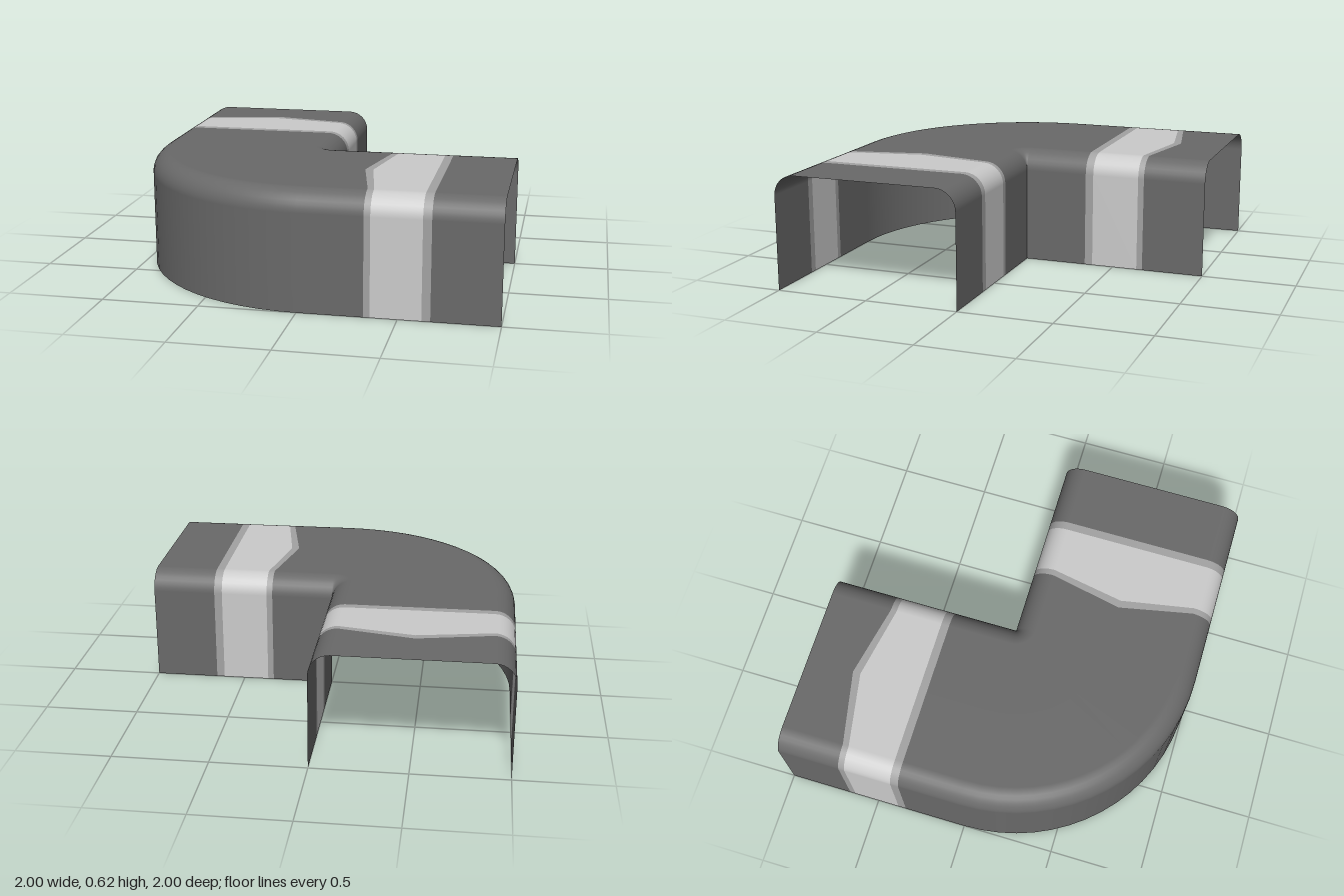
import * as THREE from 'three';

const HEIGHT = 0.615, RADIUS = 0.11, ARC_STEPS = 8, BEND_STEPS = 16;

// Thin shells open at the bottom and ends, so both sides show
const paint = (color) => new THREE.MeshStandardMaterial({ color, side: THREE.DoubleSide });

// Inverted-U cross-section: w runs from inner wall (0) to outer wall (1)
function makeProfile() {
  const points = [{ w: 0, y: 0, nw: -1, ny: 0 }];
  const corner = (centre, from) => {
    for (let i = 0; i <= ARC_STEPS; i++) {
      const a = from - (i / ARC_STEPS) * Math.PI / 2;
      const nw = Math.cos(a), ny = Math.sin(a);
      points.push({ w: centre + RADIUS * nw, y: HEIGHT - RADIUS + RADIUS * ny, nw, ny });
    }
  };
  corner(RADIUS, Math.PI);
  points.push({ w: 0.5, y: HEIGHT, nw: 0, ny: 1 });
  corner(1 - RADIUS, Math.PI / 2);
  points.push({ w: 1, y: 0, nw: 1, ny: 0 });
  return points;
}

// Sweeps the section; place(point, t) gives the outward direction angle, x and z
function sweep(name, material, profile, steps, place) {
  const position = [], normal = [], index = [];
  profile.forEach((p, i) => {
    for (let j = 0; j <= steps; j++) {
      const { x, z, angle } = place(p, j / steps);
      position.push(x, p.y, z);
      normal.push(-p.nw * Math.sin(angle), p.ny, p.nw * Math.cos(angle));
      if (i < profile.length - 1 && j < steps) {
        const a = i * (steps + 1) + j, c = a + steps + 1;
        index.push(a, a + 1, c, a + 1, c + 1, c);
      }
    }
  });
  const geometry = new THREE.BufferGeometry();
  geometry.setAttribute('position', new THREE.Float32BufferAttribute(position, 3));
  geometry.setAttribute('normal', new THREE.Float32BufferAttribute(normal, 3));
  geometry.setIndex(index);
  const mesh = new THREE.Mesh(geometry, material);
  mesh.name = name;
  return mesh;
}

// How far the arrow tip reaches at w: full in the middle, none at the rounded edges
const tipAt = (w) => Math.max(0, 1 - Math.abs(w - 0.5) / (0.5 - RADIUS));

export function createModel() {
  const model = new THREE.Group();
  model.name = 'cornerDuct';
  const profile = makeProfile();
  const dark = paint(0x696969), mid = paint(0xa3a3a3), light = paint(0xcccccc);

  // Bands along an arm, split at these distances [edge, extra reach of the tip]
  const cuts = [[0, 0], [0.34, 0], [0.383, 0], [0.635, 0.071], [0.667, 0.08], [1, 0]];
  const bands = [
    ['casingStart', dark], ['rearStripeBorder', mid], ['arrowStripe', light],
    ['tipStripeBorder', mid], ['casingEnd', dark],
  ];

  // Straight arm running from x = 1 towards the bend
  const makeArm = (name) => {
    const arm = new THREE.Group();
    arm.name = name;
    bands.forEach(([part, material], k) => {
      arm.add(sweep(part, material, profile, 1, (p, t) => {
        const [edge, reach] = cuts[k + t];
        return { x: 1 - edge - reach * tipAt(p.w), z: p.w, angle: 0 };
      }));
    });
    return arm;
  };
  const sideArm = makeArm('sideArm');
  const backArm = makeArm('backArm');
  backArm.rotation.y = -Math.PI / 2;
  backArm.position.z = -1;

  // Quarter-turn bend pivoting on the inner corner (the inner wall shrinks to a line there)
  const bend = sweep('bend', dark, profile.slice(1), BEND_STEPS, (p, t) => {
    const angle = t * Math.PI / 2;
    return { x: -p.w * Math.sin(angle), z: p.w * Math.cos(angle), angle };
  });

  model.add(sideArm, bend, backArm);
  return model;
}
